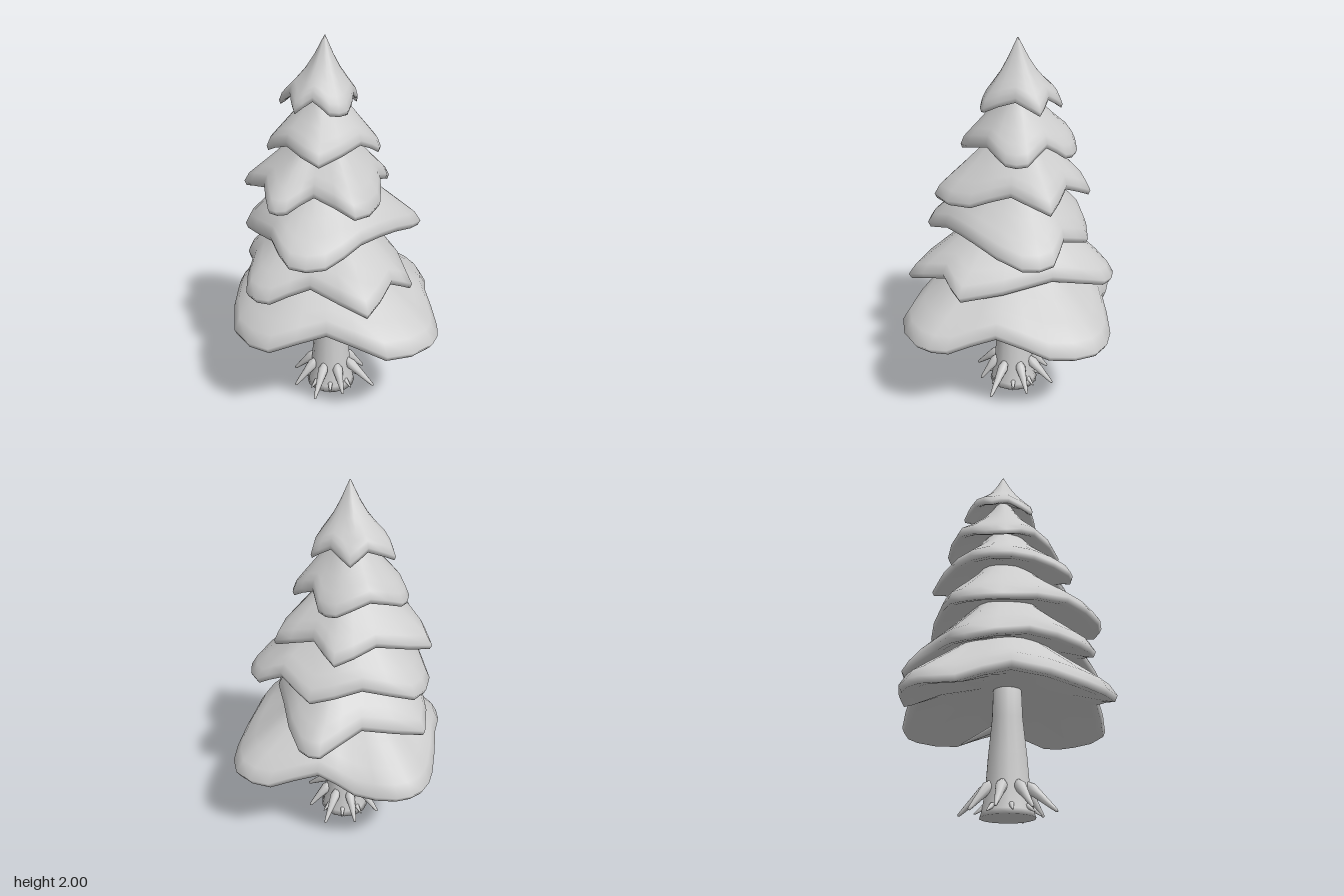
import * as THREE from 'three';

// Control points of each foliage tier's rim seen from above, as x,z pairs, lowest tier first
const RIMS = [
  [-0.1, -0.475, 0.135, -0.585, 0.34, -0.57, 0.465, -0.36, 0.5, -0.08, 0.6, 0.15, 0.6, 0.33, 0.4, 0.51,
    0.08, 0.49, -0.2, 0.59, -0.43, 0.46, -0.53, 0.13, -0.605, -0.115, -0.61, -0.285, -0.515, -0.4, -0.3, -0.45],
  [-0.135, -0.52, -0.01, -0.51, 0.2, -0.28, 0.455, 0.14, 0.37, 0.27, 0.3, 0.515,
    -0.02, 0.43, -0.22, 0.5, -0.36, 0.44, -0.41, 0.2, -0.54, -0.09, -0.27, -0.3],
  [-0.02, -0.4, 0.18, -0.33, 0.33, -0.33, 0.44, -0.2, 0.36, 0.1, 0.22, 0.32,
    0.08, 0.5, -0.1, 0.53, -0.24, 0.38, -0.49, 0.08, -0.49, -0.13, -0.26, -0.28],
  [-0.145, -0.37, 0.01, -0.285, 0.24, -0.28, 0.23, -0.06, 0.275, 0.15, 0.2, 0.385,
    -0.03, 0.31, -0.15, 0.395, -0.24, 0.395, -0.32, 0.22, -0.51, 0.02, -0.3, -0.21],
  [-0.12, -0.295, -0.01, -0.27, 0.06, -0.19, 0.2, -0.14, 0.23, -0.03, 0.16, 0.1,
    0, 0.32, -0.2, 0.21, -0.35, 0.08, -0.36, -0.03, -0.26, -0.2],
  [-0.15, -0.2, -0.03, -0.165, 0.08, -0.16, 0.09, -0.03, 0.1, 0.14, 0.02, 0.19,
    -0.07, 0.175, -0.16, 0.195, -0.22, 0.07, -0.305, -0.01, -0.21, -0.125],
];
// Which control points are raised notches (^) and which are drooping lobes (_)
const NOTCHES = ['^___^___^__^____', '__^_^_^__^_^', '_^__^^__^__^', '_^_^__^__^_^', '__^__^_^__^', '_^_^__^_^_^'];

// Upper cone: [fraction of rim, fraction of cone height]; lower lip: [fraction of rim, rim thicknesses, extra height]
const UPPER = [[0.012, 1], [0.12, 0.86], [0.25, 0.69], [0.45, 0.47], [0.65, 0.29], [0.82, 0.14], [0.94, 0.03]];
const LOWER = [[1, 0.4, 0], [0.975, 0, 0], [0.9, 0, 0.012], [0.6, 0, 0.085], [0.15, 0, 0.15]];
const CX = -0.05, CZ = 0.01;

function tierGeometry(rim, level) {
  // Higher tiers are thinner and shorter
  const y = 0.5 + 0.228 * level, t = 0.075 - 0.005 * level, h = 0.54 - 0.0092 * level * level;
  const controls = [...NOTCHES[level]].map((mark, i) =>
    new THREE.Vector3(rim[2 * i] - CX, mark === '^' ? 0.085 - 0.004 * level : 0, rim[2 * i + 1] - CZ));
  const n = rim.length;
  const pts = new THREE.CatmullRomCurve3(controls, true).getPoints(n).slice(0, n);
  const radii = pts.map((p) => Math.hypot(p.x, p.z));
  const mean = radii.reduce((sum, r) => sum + r) / n;
  const rings = [
    ...UPPER.map(([f, g]) => [f, y + t + h * g]),
    ...LOWER.map(([f, k, e]) => [f, y + k * t + e]),
  ];
  const pos = [], idx = [];
  // Rings grow rounder towards the middle, and the notches fade out
  for (const [f, ry] of rings) {
    pts.forEach((p, i) => {
      const s = f * THREE.MathUtils.lerp(1, mean / radii[i], 0.6 * (1 - f));
      pos.push(CX + p.x * s, ry + p.y * f * f, CZ + p.z * s);
    });
  }
  for (let r = 0; r < rings.length - 1; r++) {
    for (let i = 0; i < n; i++) {
      const a = r * n + i, b = r * n + (i + 1) % n;
      idx.push(a, b, a + n, b, b + n, a + n);
    }
  }
  // Close the tip and the underside
  const top = pos.length / 3, last = (rings.length - 1) * n;
  pos.push(CX, rings[0][1], CZ, CX, rings[rings.length - 1][1], CZ);
  for (let i = 0; i < n; i++) {
    const j = (i + 1) % n;
    idx.push(top, j, i, top + 1, last + i, last + j);
  }
  const geo = new THREE.BufferGeometry();
  geo.setAttribute('position', new THREE.Float32BufferAttribute(pos, 3));
  geo.setIndex(idx);
  geo.computeVertexNormals();
  return geo;
}

const lathe = (profile, sides) =>
  new THREE.LatheGeometry(profile.map(([r, y]) => new THREE.Vector2(r, y)), sides);

// Tapered spike from one point to another, plump near its start
function spike(name, from, to, radius, mat) {
  const a = new THREE.Vector3(...from), dir = new THREE.Vector3(...to).sub(a);
  const len = dir.length();
  const geo = lathe([[0, 0], [radius * 0.6, len * 0.04], [radius, len * 0.2], [radius * 0.7, len * 0.5],
    [radius * 0.35, len * 0.88], [radius * 0.25, len * 0.97], [0, len]], 8);
  const mesh = new THREE.Mesh(geo, mat);
  mesh.name = name;
  mesh.position.copy(a);
  mesh.quaternion.setFromUnitVectors(new THREE.Vector3(0, 1, 0), dir.normalize());
  return mesh;
}

export function createModel() {
  const tree = new THREE.Group();
  tree.name = 'pineTree';
  const grey = new THREE.MeshStandardMaterial({ color: 0xcccccc });
  grey.name = 'plainGrey';

  // Foliage
  RIMS.forEach((rim, level) => {
    const mesh = new THREE.Mesh(tierGeometry(rim, level), grey);
    mesh.name = `foliageTier${level + 1}`;
    tree.add(mesh);
  });

  // Trunk, flared at the foot
  const trunk = new THREE.Mesh(
    lathe([[0, 0], [0.14, 0], [0.13, 0.03], [0.112, 0.14], [0.1, 0.3], [0.08, 0.5], [0.072, 0.75], [0, 0.75]], 14), grey);
  trunk.name = 'trunk';
  trunk.position.set(-0.02, 0, 0.025);
  tree.add(trunk);

  // Large roots with small rootlets between them
  const roots = new THREE.Group();
  roots.name = 'roots';
  const around = (deg, r, y) => {
    const a = THREE.MathUtils.degToRad(deg);
    return [-0.02 + Math.cos(a) * r, y, 0.025 + Math.sin(a) * r];
  };
  [[8, 0.27], [55, 0.2], [97, 0.25], [140, 0.23], [185, 0.23], [228, 0.22], [272, 0.25], [318, 0.22]].forEach(([deg, reach]) => {
    roots.add(spike('root', around(deg, 0.09, 0.165), around(deg, reach, 0.02), 0.03, grey));
    roots.add(spike('rootlet', around(deg + 22, 0.11, 0.055), around(deg + 22, 0.165, 0.015), 0.014, grey));
  });
  tree.add(roots);

  // Bare twig under the foliage
  tree.add(spike('twig', [0.02, 0.483, -0.01], [0.26, 0.457, -0.28], 0.02, grey));
  return tree;
}
